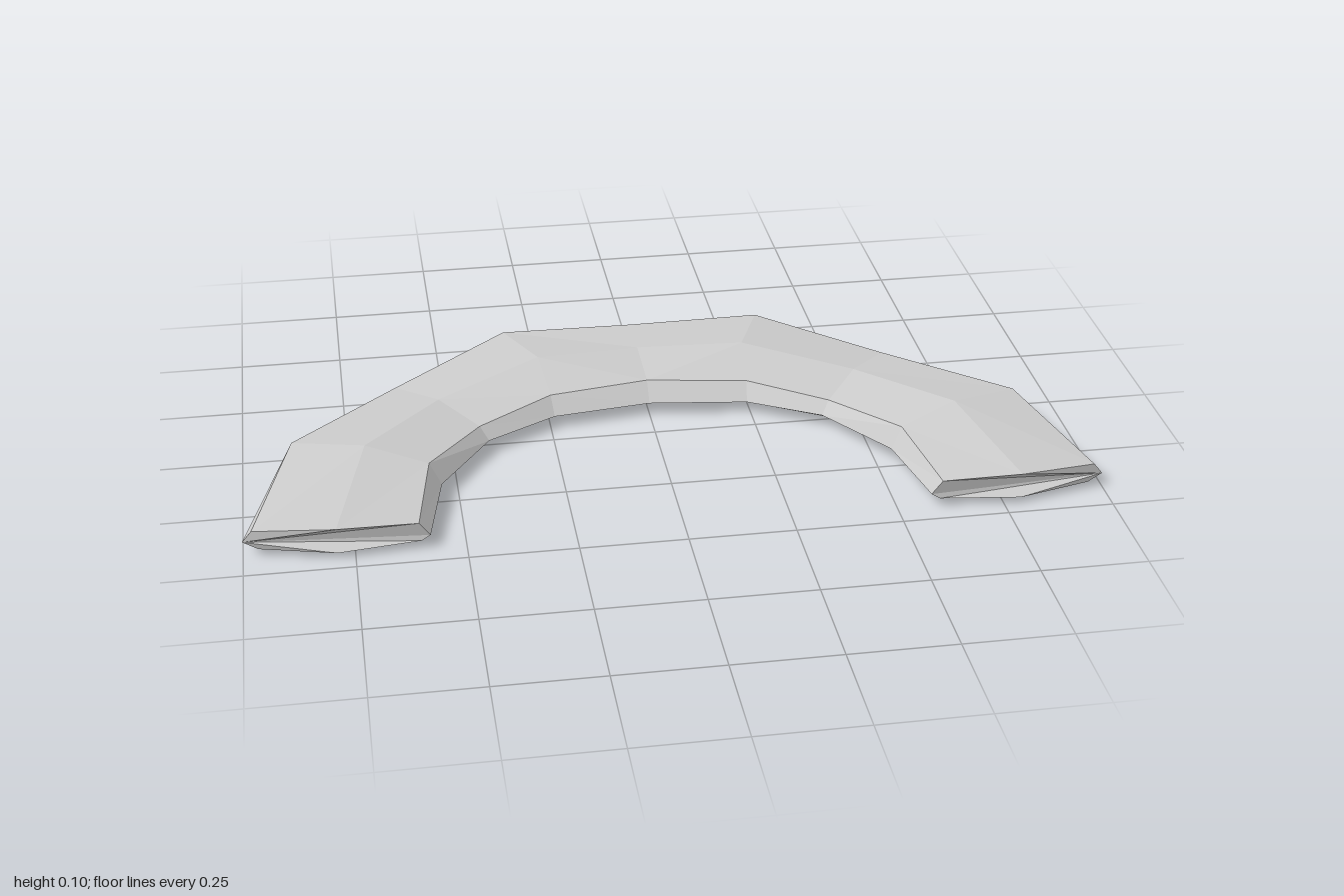
import * as THREE from 'three';

// Half of the arch: each station holds [x, y, z] for
// outer edge, outer top, crest, inner top, inner edge, inner bottom, keel, outer bottom
const stations = [
  [[0, .03, -.46], [0, .08, -.43], [0, .08, -.3], [0, .073, -.135], [0, .03, -.093], [0, .018, -.12], [0, .012, -.3], [0, .012, -.43]],
  [[.34, .03, -.45], [.33, .083, -.43], [.26, .099, -.25], [.245, .07, -.1], [.24, .03, -.062], [.245, .015, -.09], [.26, 0, -.25], [.33, .011, -.425]],
  [[.64, .03, -.24], [.62, .057, -.22], [.52, .075, -.11], [.43, .06, .012], [.41, .03, .033], [.425, .018, .02], [.52, .013, -.11], [.62, .014, -.22]],
  [[.90, .03, .05], [.88, .083, .065], [.71, .105, .142], [.565, .08, .205], [.538, .03, .22], [.555, .015, .21], [.71, 0, .142], [.875, .011, .065]],
  [[1, .032, .41], [.978, .06, .413], [.79, .075, .458], [.605, .064, .442], [.58, .03, .44], [.6, .018, .442], [.79, .013, .458], [.965, .014, .415]],
];

function buildArch() {
  // Mirror the half to obtain the full run of sections from -x to +x
  const mirrored = stations.slice(1).reverse().map(s => s.map(([x, y, z]) => [-x, y, z]));
  const rings = [...mirrored, ...stations];
  const n = 8, last = rings.length - 1;
  const positions = [];
  const tri = (a, b, c) => positions.push(...a, ...b, ...c);

  for (let i = 0; i < last; i++) {
    for (let k = 0; k < n; k++) {
      const a = rings[i][k], b = rings[i][(k + 1) % n];
      const c = rings[i + 1][(k + 1) % n], d = rings[i + 1][k];
      // Quad diagonals mirror across x = 0
      if (i < last / 2) { tri(a, b, c); tri(a, c, d); }
      else { tri(a, b, d); tri(b, c, d); }
    }
  }
  // End caps
  for (let k = 1; k < n - 1; k++) {
    tri(rings[0][0], rings[0][k + 1], rings[0][k]);
    tri(rings[last][0], rings[last][k], rings[last][k + 1]);
  }
  const geometry = new THREE.BufferGeometry();
  geometry.setAttribute('position', new THREE.Float32BufferAttribute(positions, 3));
  geometry.computeVertexNormals();
  return geometry;
}

export function createModel() {
  const group = new THREE.Group();
  group.name = 'curvedArch';
  const material = new THREE.MeshStandardMaterial({ color: 0xcccccc, flatShading: true });
  const arch = new THREE.Mesh(buildArch(), material);
  arch.name = 'archBody';
  group.add(arch);
  return group;
}
